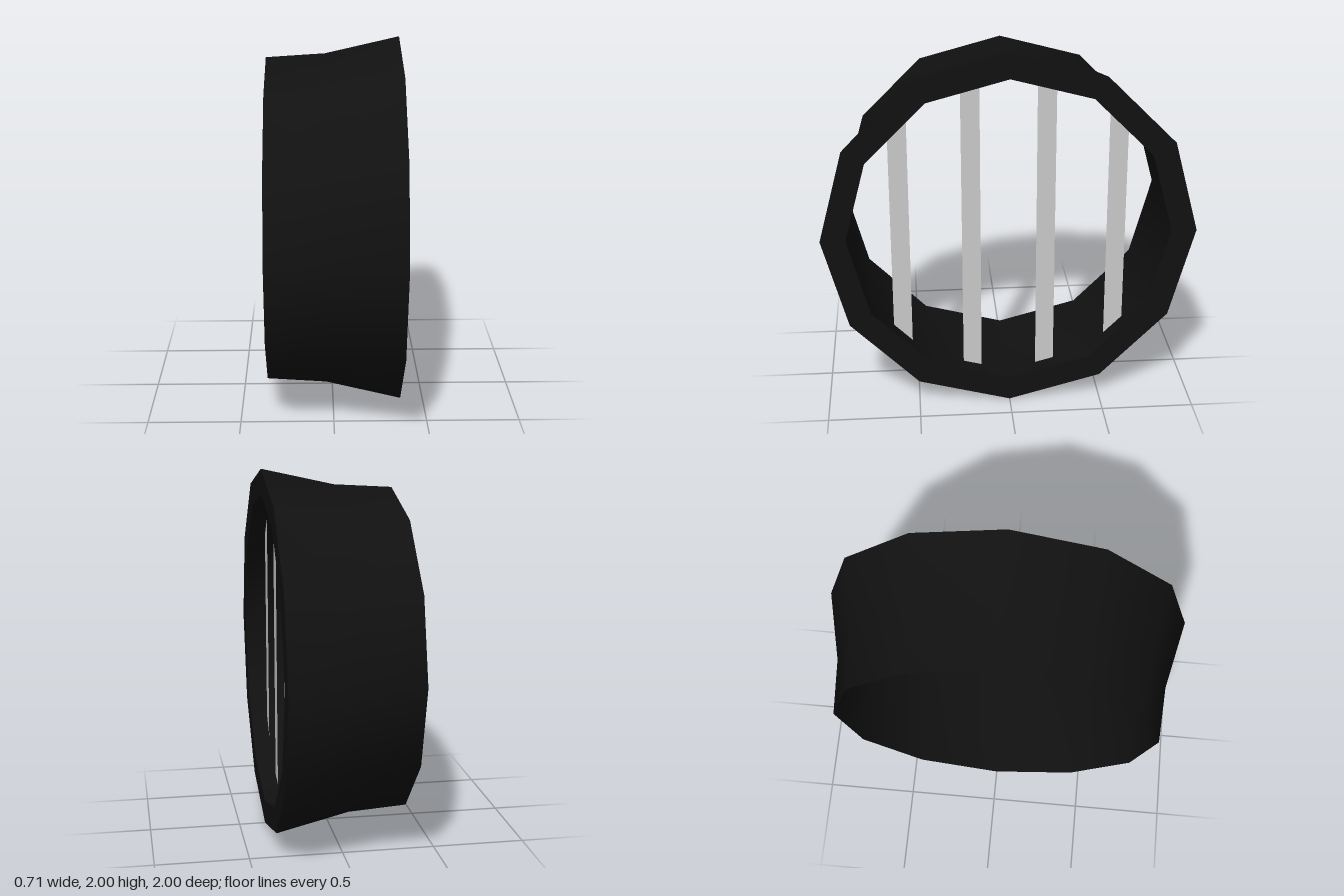
import * as THREE from 'three';
import { toCreasedNormals } from 'three/addons/utils/BufferGeometryUtils.js';

const SIDES = 12;

// Half-height of a 12-sided ring (corner on top) at distance z from its centre
function ringHeight(z, radius) {
  const step = (2 * Math.PI) / SIDES;
  const i = Math.floor(Math.asin(Math.min(1, Math.abs(z) / radius)) / step);
  let k = i;
  if (Math.abs(z) > radius * Math.sin((k + 1) * step)) k++;
  const z0 = radius * Math.sin(k * step), y0 = radius * Math.cos(k * step);
  const z1 = radius * Math.sin((k + 1) * step), y1 = radius * Math.cos((k + 1) * step);
  return y0 + ((Math.abs(z) - z0) / (z1 - z0)) * (y1 - y0);
}

export function createModel() {
  const group = new THREE.Group();
  const black = new THREE.MeshStandardMaterial({ color: 0x111111 });
  const grey = new THREE.MeshStandardMaterial({ color: 0xcccccc, side: THREE.DoubleSide });

  // Flared housing: outer wall, flat lip, then the inner wall back to a thin rear edge
  const profile = [
    [0.89, -0.355], [0.91, -0.04], [1, 0.355], [0.865, 0.355], [0.89, -0.355],
  ].map(([r, x]) => new THREE.Vector2(r, x));
  const lathe = new THREE.LatheGeometry(profile, SIDES).rotateZ(-Math.PI / 2);
  const housing = new THREE.Mesh(toCreasedNormals(lathe, THREE.MathUtils.degToRad(40)), black);
  housing.name = 'housing';
  housing.position.y = 1;
  group.add(housing);

  // Flat upright grille bars, with ends cut to follow the inner wall
  const grille = new THREE.Group();
  grille.name = 'grille';
  grille.position.set(0.26, 1, 0);
  for (const z of [-0.58, -0.2, 0.2, 0.58]) {
    const a = z - 0.05, b = z + 0.05;
    const ya = ringHeight(a, 0.868), yb = ringHeight(b, 0.868);
    const outline = new THREE.Shape([
      new THREE.Vector2(a, -ya), new THREE.Vector2(b, -yb),
      new THREE.Vector2(b, yb), new THREE.Vector2(a, ya),
    ]);
    const bar = new THREE.Mesh(new THREE.ShapeGeometry(outline).rotateY(-Math.PI / 2), grey);
    bar.name = 'grilleBar';
    grille.add(bar);
  }
  group.add(grille);
  return group;
}
